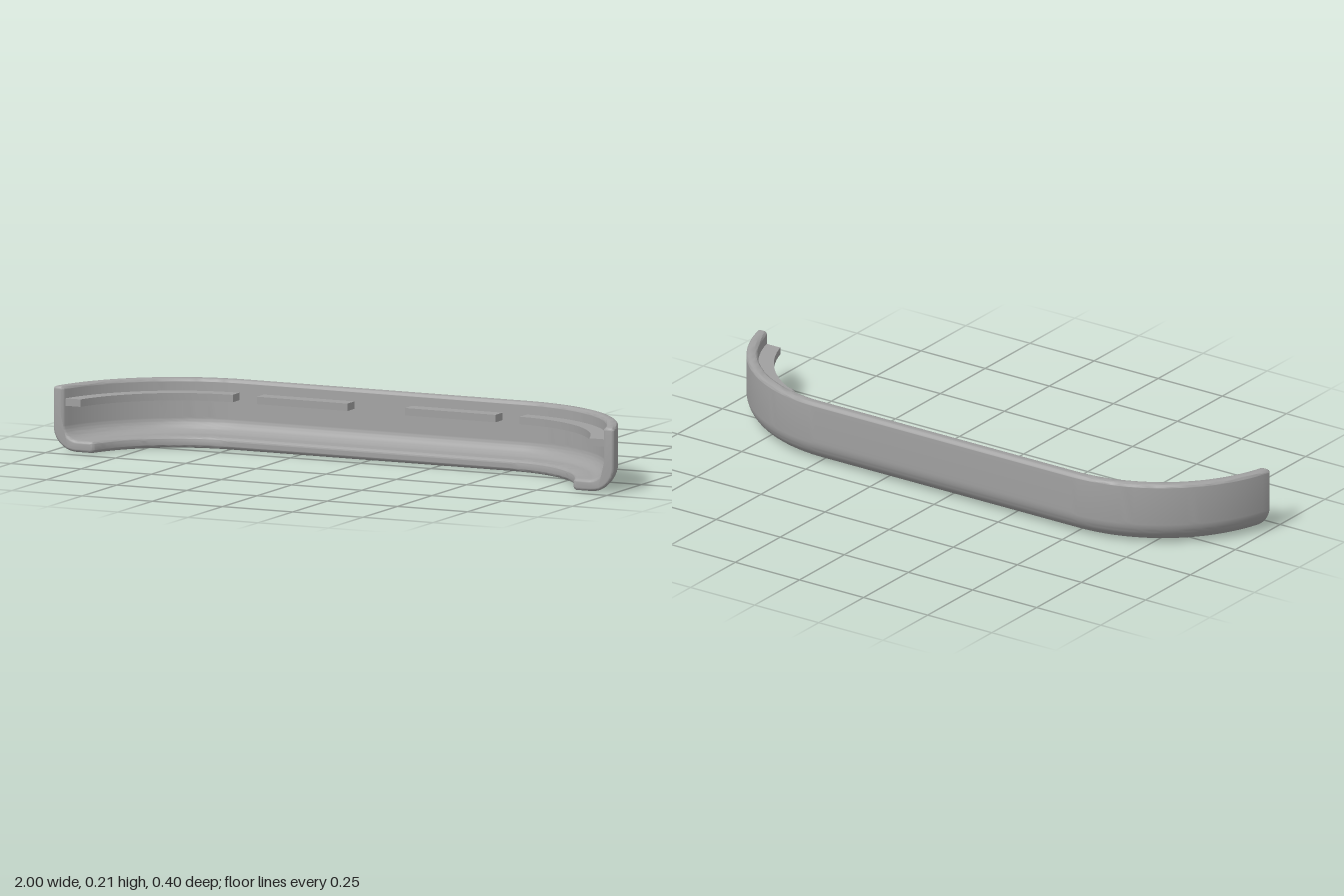
import * as THREE from 'three';
import { toCreasedNormals } from 'three/addons/utils/BufferGeometryUtils.js';

const HALF = 0.5;        // half length of the straight run
const RADIUS = 0.5125;   // outer bend radius
const CENTRE_Z = 0.3125; // bend centre
const BACK = -0.2, END = 0.2, ROUND = 0.01;

// Plan position: |p| <= 1 is the straight run, 1..2 is a bend cut flat at zEnd.
// d is the distance inward from the outer face.
function planPoint(p, d, zEnd) {
  const a = Math.abs(p), side = Math.sign(p);
  if (a <= 1) return [HALF * p, BACK + d];
  const r = RADIUS - d;
  const angle = (a - 1) * Math.acos((CENTRE_Z - zEnd) / r);
  return [side * (HALF + r * Math.sin(angle)), CENTRE_Z - r * Math.cos(angle)];
}

// Shrinks a counter-clockwise outline along its averaged edge normals.
function insetOutline(pts, amount) {
  const n = pts.length;
  return pts.map((p, i) => {
    const a = p.clone().sub(pts[(i + n - 1) % n]).normalize();
    const b = pts[(i + 1) % n].clone().sub(p).normalize();
    const t = a.add(b).normalize();
    return new THREE.Vector2(p.x - t.y * amount, p.y + t.x * amount);
  });
}

// Sweeps a closed (d, y) outline through stations { p, zEnd, inset }.
function sweep(outline, stations) {
  const pos = [], index = [], n = outline.length;
  for (const { p, zEnd, inset = 0 } of stations) {
    const ring = inset ? insetOutline(outline, inset) : outline;
    for (const q of ring) {
      const [x, z] = planPoint(p, q.x, zEnd);
      pos.push(x, q.y, z);
    }
  }
  for (let j = 0; j < stations.length - 1; j++) {
    for (let i = 0; i < n; i++) {
      const a = j * n + i, b = j * n + (i + 1) % n;
      index.push(a, a + n, b, b, a + n, b + n);
    }
  }
  const last = (stations.length - 1) * n;
  for (const [a, b, c] of THREE.ShapeUtils.triangulateShape(outline, [])) {
    index.push(a, b, c, last + a, last + c, last + b);
  }
  const geo = new THREE.BufferGeometry();
  geo.setAttribute('position', new THREE.Float32BufferAttribute(pos, 3));
  geo.setIndex(index);
  return toCreasedNormals(geo, 0.6);
}

// J-shaped section: tall wall, rounded lower corner, short floor lip.
function shellOutline() {
  const PI = Math.PI, r = 0.012;
  const path = new THREE.Path();
  path.moveTo(0, 0.08);
  path.absarc(0.08, 0.08, 0.08, PI, 1.5 * PI, false);
  path.absarc(0.14 - r, r, r, 1.5 * PI, 2 * PI, false);
  path.absarc(0.14 - r, 0.037 - r, r, 0, 0.5 * PI, false);
  path.absarc(0.087, 0.087, 0.05, 1.5 * PI, PI, true);
  path.absarc(0.037 - r, 0.21 - r, r, 0, 0.5 * PI, false);
  path.absarc(r, 0.21 - r, r, 0.5 * PI, PI, false);
  const pts = path.getPoints(8);
  return pts.filter((p, i) => p.distanceTo(pts[(i + 1) % pts.length]) > 1e-5);
}

function shellStations() {
  const right = [];
  for (let i = 0; i <= 28; i++) right.push({ p: 1 + i / 28, zEnd: END - ROUND });
  // rounded rim around the cut end
  for (let i = 1; i <= 4; i++) {
    const a = (i / 4) * Math.PI / 2;
    right.push({
      p: 2,
      zEnd: END - ROUND + ROUND * Math.sin(a),
      inset: ROUND * (1 - Math.cos(a)),
    });
  }
  const left = right.map((s) => ({ ...s, p: -s.p })).reverse();
  return [...left, ...right];
}

export function createModel() {
  const model = new THREE.Group();
  model.name = 'curvedTray';
  const grey = new THREE.MeshStandardMaterial({ color: 0xa0a0a0 });
  grey.name = 'plain grey';

  const add = (name, geometry) => {
    const mesh = new THREE.Mesh(geometry, grey);
    mesh.name = name;
    model.add(mesh);
  };

  add('shell', sweep(shellOutline(), shellStations()));

  // Narrow ledges standing off the inner wall
  const ledge = [[0.03, 0.146], [0.088, 0.146], [0.088, 0.17], [0.03, 0.17]]
    .map(([d, y]) => new THREE.Vector2(d, y));
  const ledgeRun = (from, to, steps) => Array.from({ length: steps + 1 },
    (_, i) => ({ p: from + (to - from) * i / steps, zEnd: 0.188 }));

  add('leftStraightLedge', sweep(ledge, ledgeRun(0.205, 0.85, 1)));
  add('rightStraightLedge', sweep(ledge, ledgeRun(-0.85, -0.205, 1)));
  add('leftCurvedLedge', sweep(ledge, ledgeRun(1.02, 2, 24)));
  add('rightCurvedLedge', sweep(ledge, ledgeRun(-2, -1.02, 24)));

  return model;
}
